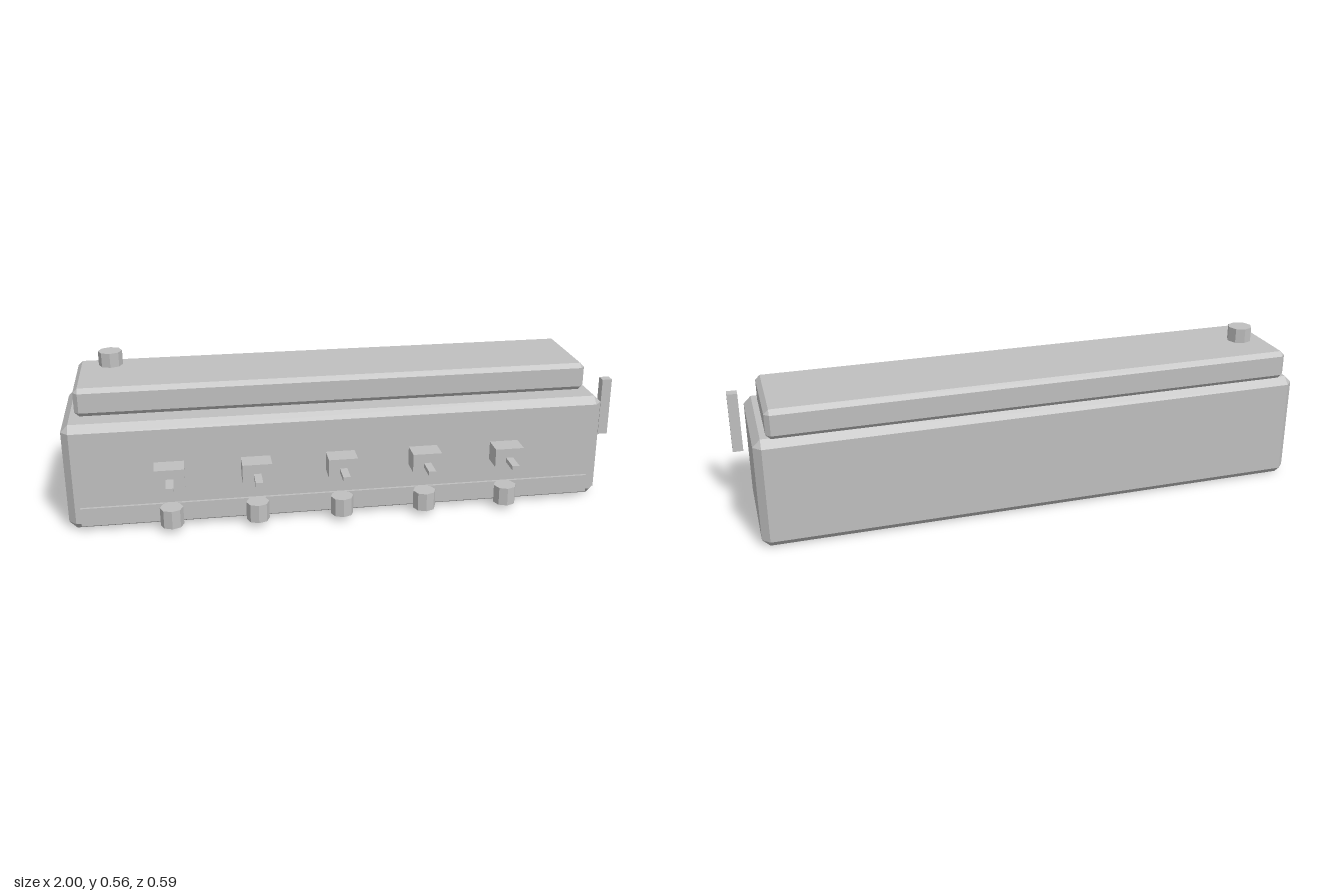
import * as THREE from 'three';
import { ConvexGeometry } from 'three/addons/geometries/ConvexGeometry.js';

const grey = new THREE.MeshStandardMaterial({ color: 0xbfbfbf });
grey.name = 'plainGrey';
grey.flatShading = true;

// Box with every edge cut at 45 degrees, given by its min and max corners
function chamferedBox(min, max, c) {
  const centre = min.map((v, i) => (v + max[i]) / 2);
  const half = min.map((v, i) => (max[i] - v) / 2);
  const points = [];
  for (const sx of [-1, 1]) for (const sy of [-1, 1]) for (const sz of [-1, 1]) {
    for (let axis = 0; axis < 3; axis++) {
      const p = [sx, sy, sz].map((s, i) => centre[i] + s * (half[i] - (i === axis ? 0 : c)));
      points.push(new THREE.Vector3(...p));
    }
  }
  return new ConvexGeometry(points);
}

// Plain box given by its min and max corners
function box(min, max) {
  const size = max.map((v, i) => v - min[i]);
  return new THREE.BoxGeometry(...size).translate(...min.map((v, i) => v + size[i] / 2));
}

export function createModel() {
  const model = new THREE.Group();
  const add = (name, geometry, parent = model) => {
    const mesh = new THREE.Mesh(geometry, grey);
    mesh.name = name;
    parent.add(mesh);
    return mesh;
  };

  // Main body and the narrower lid set towards the back
  add('body', chamferedBox([-1, 0, -0.294], [0.944, 0.39, 0.139], 0.026));
  add('lid', chamferedBox([-0.955, 0.391, -0.294], [0.9, 0.494, 0.052], 0.016));

  // Strip along the lower front
  add('frontStrip', box([-0.955, 0.02, 0.13], [0.9, 0.087, 0.149]));

  // Hovering cap on top and lever beside the left end
  add('topCap', new THREE.CylinderGeometry(0.043, 0.043, 0.052, 8).translate(-0.829, 0.538, -0.164));
  add('sideLever', box([0.964, 0.218, 0.036], [1, 0.434, 0.07]));

  // Five taps: block, spout and eight-sided knob below
  for (let i = 0; i < 5; i++) {
    const tap = new THREE.Group();
    tap.name = 'tap' + (i + 1);
    tap.position.x = -0.0335 + (i - 2) * 0.303;
    add('tapBlock', box([-0.052, 0.175, 0.13], [0.052, 0.243, 0.217]), tap);
    add('tapSpout', box([-0.013, 0.193, 0.21], [0.013, 0.209, 0.294]), tap);
    add('tapKnob', new THREE.CylinderGeometry(0.041, 0.041, 0.067, 8).translate(0, 0.0535, 0.181), tap);
    model.add(tap);
  }
  return model;
}
